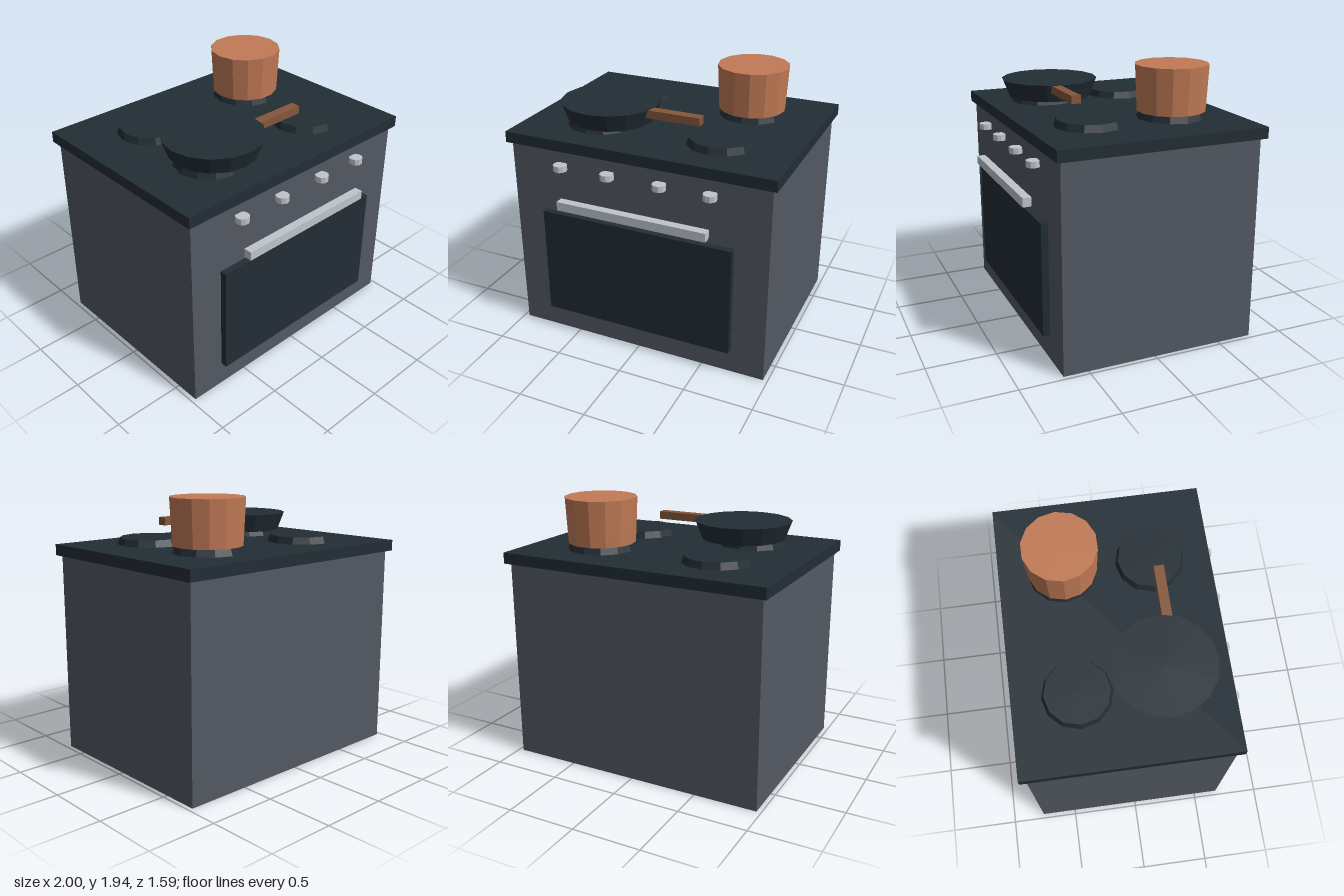
import * as THREE from 'three';

const paint = (name, color) => {
  const m = new THREE.MeshStandardMaterial({ color, flatShading: true });
  m.name = name;
  return m;
};

export function createModel() {
  const stove = new THREE.Group();
  stove.name = 'stove';
  const grey = paint('body grey', 0x535963);
  const dark = paint('dark slate', 0x222d35);
  const silver = paint('silver', 0xbfc5cd);
  const copper = paint('copper', 0xc17a55);
  const wood = paint('wood brown', 0x84573a);

  // Box given by its min and max on each axis
  const box = (name, mat, [x0, x1], [y0, y1], [z0, z1]) => {
    const mesh = new THREE.Mesh(new THREE.BoxGeometry(x1 - x0, y1 - y0, z1 - z0), mat);
    mesh.position.set((x0 + x1) / 2, (y0 + y1) / 2, (z0 + z1) / 2);
    mesh.name = name;
    stove.add(mesh);
  };

  // Upright tapered drum with a corner pointing along +x
  const drum = (name, mat, x, z, [y0, y1], rBottom, rTop, sides) => {
    const geo = new THREE.CylinderGeometry(rTop, rBottom, y1 - y0, sides).rotateY(Math.PI / 2);
    const mesh = new THREE.Mesh(geo, mat);
    mesh.position.set(x, (y0 + y1) / 2, z);
    mesh.name = name;
    stove.add(mesh);
  };

  // Cabinet and worktop
  box('body', grey, [-0.967, 0.967], [0, 1.48], [-0.76, 0.68]);
  box('worktop', dark, [-1, 1], [1.48, 1.56], [-0.797, 0.712]);

  // Oven door and its bar handle
  box('ovenDoor', dark, [-0.72, 0.72], [0.185, 1.0], [0.66, 0.73]);
  box('doorHandle', silver, [-0.56, 0.56], [1.07, 1.135], [0.735, 0.797]);

  // Control knobs
  for (const x of [-0.563, -0.197, 0.193, 0.556]) {
    drum('knob', silver, x, 0.717, [1.343, 1.387], 0.049, 0.049, 10);
  }

  // Four burners
  for (const x of [-0.46, 0.46]) {
    for (const z of [-0.345, 0.28]) {
      drum('burner', dark, x, z, [1.56, 1.61], 0.245, 0.228, 12);
    }
  }

  // Pot on the back burner, pan with its handle on the front one
  drum('pot', copper, 0.46, -0.342, [1.61, 1.937], 0.245, 0.261, 14);
  drum('fryingPan', dark, -0.395, 0.252, [1.61, 1.74], 0.31, 0.359, 16);
  box('panHandle', wood, [-0.1, 0.327], [1.68, 1.738], [0.284, 0.354]);

  return stove;
}
